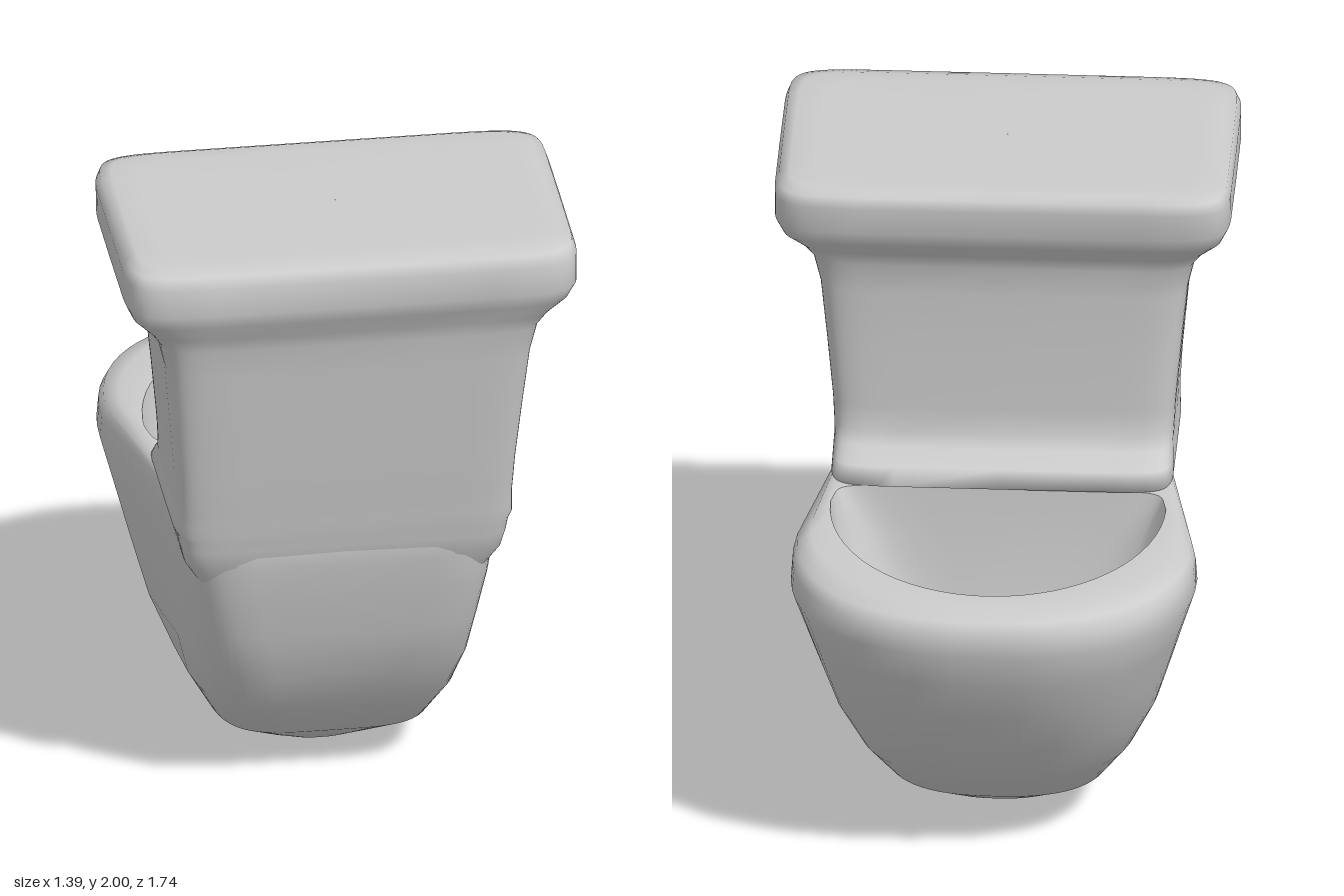
import * as THREE from 'three';

const SEGMENTS = 64;

// One horizontal cross-section: a squarish half towards +z (zBack, wBack) joined
// at zMid to a half towards -z (zFront, wMid). Exponents set corner sharpness.
function ring([y, zBack, zFront, zMid, wBack, wMid, nBack, nFront]) {
  const points = [];
  for (let i = 0; i < SEGMENTS; i++) {
    const a = (i / SEGMENTS) * Math.PI * 2;
    const c = Math.cos(a), s = Math.sin(a);
    const n = s >= 0 ? nBack : nFront;
    const along = Math.pow(Math.abs(s), 2 / n);
    const across = Math.sign(c) * Math.pow(Math.abs(c), 2 / n);
    const z = zMid + (s >= 0 ? zBack - zMid : zFront - zMid) * along;
    const taper = THREE.MathUtils.smoothstep(z, zMid, Math.min(zBack, 0.4));
    points.push(THREE.MathUtils.lerp(wMid, wBack, taper) * across, y, z);
  }
  return points;
}

// Smooth skin through a stack of cross-sections
function loft(name, rows, material) {
  const index = [];
  for (let r = 0; r < rows.length - 1; r++) {
    for (let i = 0; i < SEGMENTS; i++) {
      const a = r * SEGMENTS + i;
      const b = r * SEGMENTS + ((i + 1) % SEGMENTS);
      index.push(a, a + SEGMENTS, b, b, a + SEGMENTS, b + SEGMENTS);
    }
  }
  const geometry = new THREE.BufferGeometry();
  geometry.setAttribute('position', new THREE.Float32BufferAttribute(rows.map(ring).flat(), 3));
  geometry.setIndex(index);
  geometry.computeVertexNormals();
  const mesh = new THREE.Mesh(geometry, material);
  mesh.name = name;
  return mesh;
}

export function createModel() {
  const group = new THREE.Group();
  group.name = 'toilet';
  const material = new THREE.MeshStandardMaterial({ color: 0xcccccc, side: THREE.DoubleSide });

  // Opening of the bowl: rounded front, straight edge at the tank
  const opening = [1.0, 0.015, -0.7, -0.1, 0.49, 0.51, 8, 2];

  // Base and bowl in one skin, closed by the flat rim around the opening
  group.add(loft('baseAndBowl', [
    [0.0, 0.061, 0.059, 0.06, 0.001, 0.001, 3, 2],
    [0.005, 0.1, 0.0, 0.05, 0.08, 0.09, 3, 2.2],
    [0.05, 0.17, -0.2, 0.0, 0.2, 0.22, 3.5, 2.4],
    [0.14, 0.32, -0.36, -0.01, 0.32, 0.345, 4, 2.6],
    [0.28, 0.425, -0.51, -0.04, 0.385, 0.43, 5, 2.7],
    [0.44, 0.53, -0.635, -0.08, 0.425, 0.5, 6, 2.7],
    [0.6, 0.583, -0.74, -0.14, 0.45, 0.545, 7, 2.6],
    [0.75, 0.622, -0.82, -0.22, 0.475, 0.585, 8, 2.5],
    [0.87, 0.65, -0.865, -0.3, 0.492, 0.617, 8, 2.4],
    [0.94, 0.656, -0.867, -0.3, 0.494, 0.612, 8, 2.35],
    [0.98, 0.65, -0.845, -0.28, 0.49, 0.6, 8, 2.3],
    [1.002, 0.6, -0.78, -0.24, 0.48, 0.56, 8, 2.2],
    opening,
  ], material));

  // Hollow inside of the bowl
  group.add(loft('bowlInside', [
    opening,
    [0.85, 0.01, -0.67, -0.1, 0.4, 0.48, 6, 2],
    [0.65, -0.01, -0.57, -0.12, 0.33, 0.41, 5, 2],
    [0.5, -0.04, -0.46, -0.15, 0.27, 0.32, 4, 2],
    [0.42, -0.08, -0.36, -0.18, 0.19, 0.22, 3, 2],
    [0.39, -0.14, -0.27, -0.2, 0.1, 0.11, 2, 2],
    [0.385, -0.199, -0.201, -0.2, 0.001, 0.001, 2, 2],
  ], material));

  // Tank rising out of the base: y, zBack, zFront, half width.
  // It flares forward where it meets the rim and outward under the lid.
  const tankRows = [
    [0.8, 0.6, 0.2, 0.44],
    [0.88, 0.645, 0.16, 0.486],
    [0.94, 0.659, 0.14, 0.501],
    [0.98, 0.668, 0.09, 0.508],
    [1.0, 0.673, 0.005, 0.52],
    [1.04, 0.68, 0.055, 0.518],
    [1.08, 0.687, 0.115, 0.516],
    [1.12, 0.695, 0.142, 0.518],
    [1.2, 0.71, 0.143, 0.522],
    [1.4, 0.745, 0.135, 0.54],
    [1.6, 0.78, 0.125, 0.56],
    [1.7, 0.797, 0.11, 0.583],
    [1.75, 0.815, 0.085, 0.617],
    [1.81, 0.85, 0.03, 0.672],
    [1.86, 0.87, 0.01, 0.694],
    [1.95, 0.87, -0.007, 0.694],
    [1.985, 0.852, 0.0, 0.682],
    [1.998, 0.81, 0.03, 0.65],
    [2.0, 0.75, 0.09, 0.58],
    [2.0, 0.421, 0.419, 0.001],
  ];
  group.add(loft('tankAndLid', tankRows.map(([y, zBack, zFront, w]) =>
    [y, zBack, zFront, (zBack + zFront) / 2, w, w, 10, 10]), material));

  return group;
}
